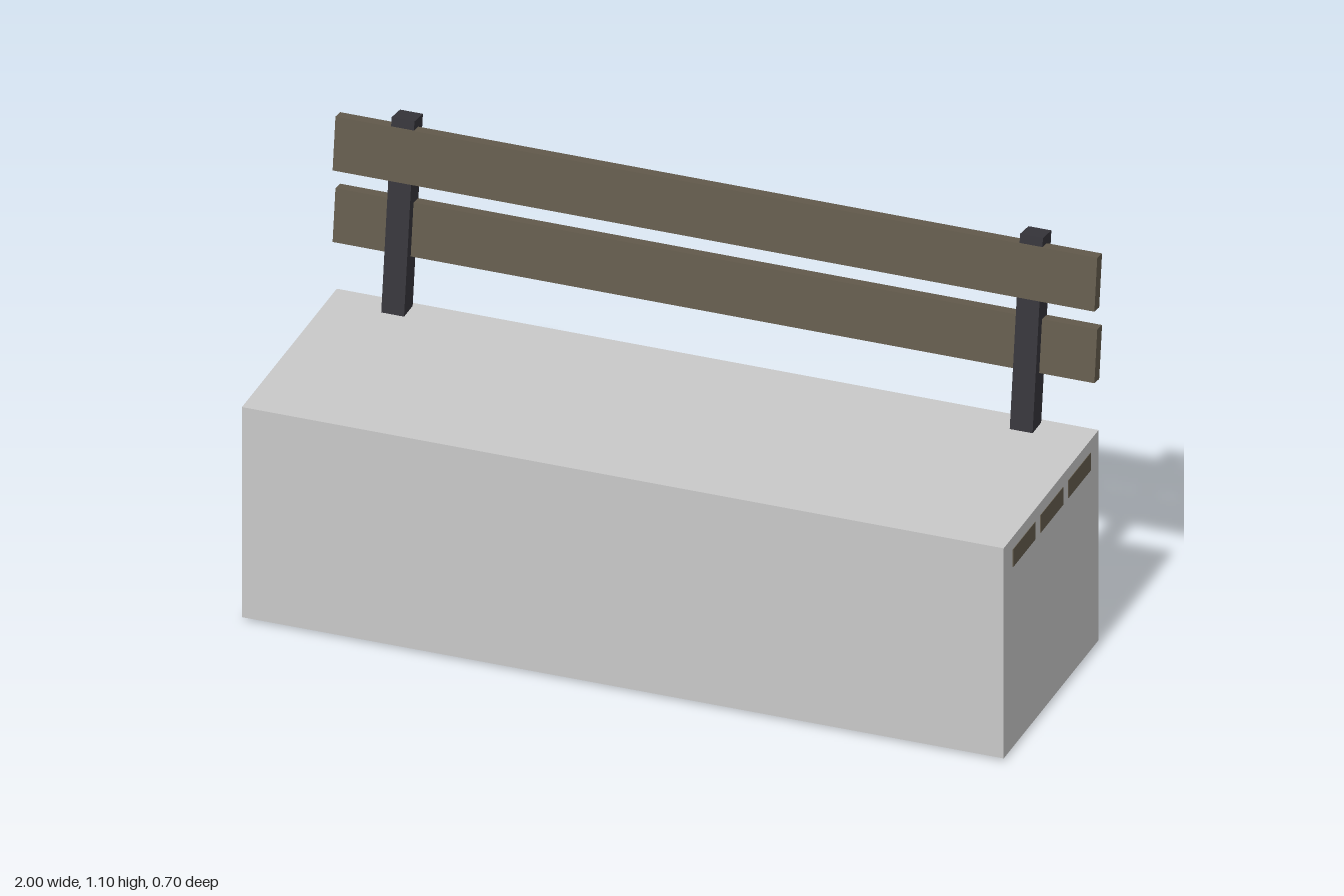
import * as THREE from 'three';

export function createModel() {
  const model = new THREE.Group();
  model.name = 'bench';

  const concrete = new THREE.MeshStandardMaterial({ name: 'pale grey', color: 0xc9c9c9 });
  const wood = new THREE.MeshStandardMaterial({ name: 'weathered wood', color: 0x645c4d });
  const iron = new THREE.MeshStandardMaterial({ name: 'dark iron', color: 0x36353b });

  const addBox = (parent, name, material, size, position) => {
    const mesh = new THREE.Mesh(new THREE.BoxGeometry(...size), material);
    mesh.name = name;
    mesh.position.set(...position);
    parent.add(mesh);
    return mesh;
  };

  // Solid block forming the seat
  addBox(model, 'seatBlock', concrete, [2, 0.587, 0.646], [0, 0.3015, 0.028]);

  // Wooden planks set through the block, showing flush at both ends
  for (const z of [0.2135, 0.026, -0.1635]) {
    addBox(model, 'seatPlank', wood, [2.003, 0.049, 0.153], [0, 0.536, z]);
  }

  // Leaning backrest: local origin on the post centre line where it meets the seat
  const lean = 0.138;
  const back = new THREE.Group();
  back.name = 'backrest';
  back.position.set(0, 0.595, -0.2507);
  back.rotation.x = -lean;
  model.add(back);

  for (const side of [-1, 1]) {
    const x = side * 0.825;
    addBox(back, 'backPost', iron, [0.06, 0.54, 0.058], [x, 0.24, 0]);
    // Foot rail under the block
    addBox(model, 'footRail', iron, [0.064, 0.03, 0.588], [x, 0.015, 0.027]);
  }

  // Upper slat sits just proud of the posts, the lower one is set into them
  addBox(back, 'upperSlat', wood, [2, 0.142, 0.033], [0, 0.415, 0.0155]);
  addBox(back, 'lowerSlat', wood, [2, 0.142, 0.033], [0, 0.217, -0.012]);

  return model;
}
